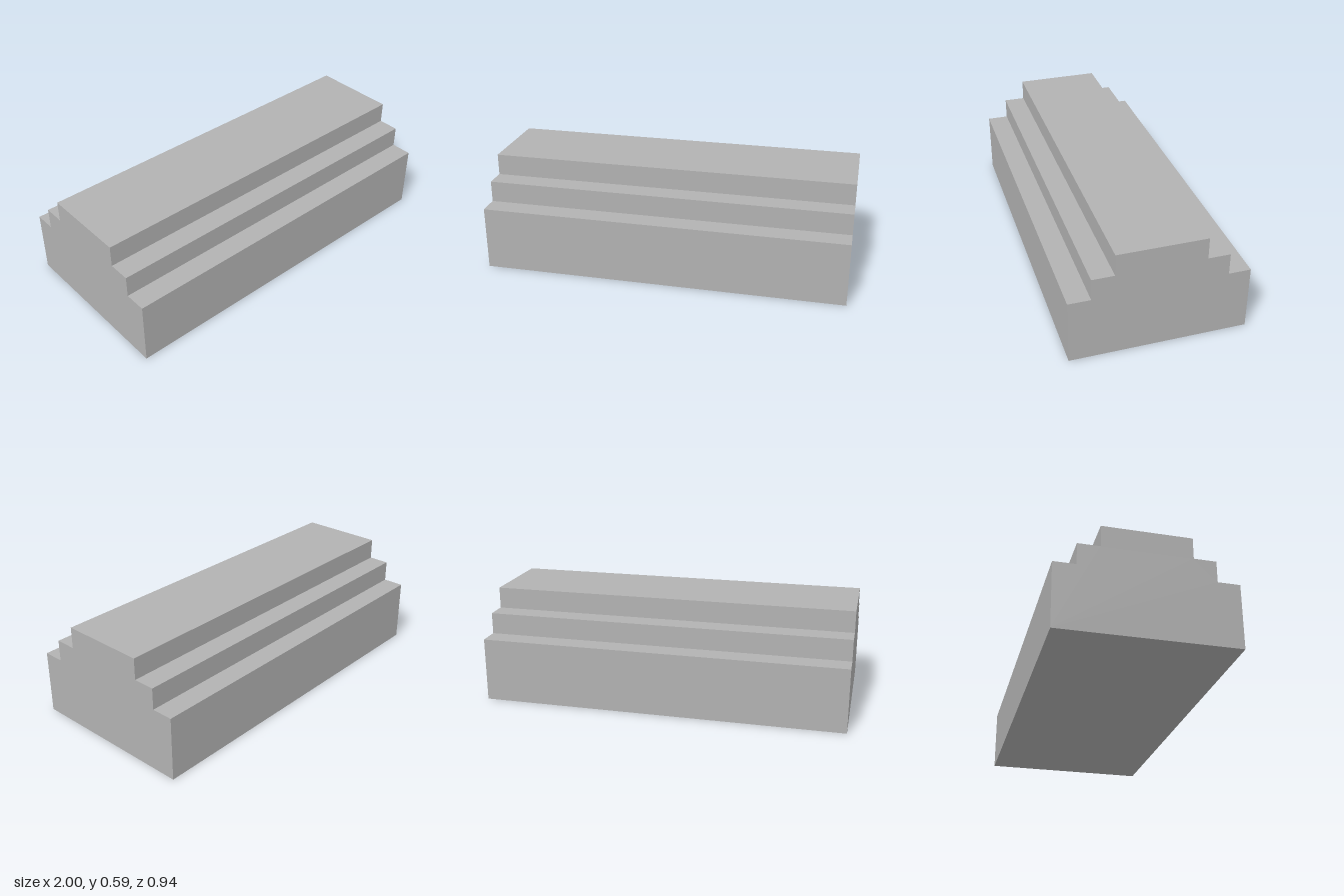
import * as THREE from 'three';

export function createModel() {
  const group = new THREE.Group();
  group.name = 'steppedBlock';
  const grey = new THREE.MeshStandardMaterial({ color: 0xb2b2b2 });
  grey.name = 'grey';

  // Stepped end profile: half of it as [half depth, height], then mirrored
  const u = 2 / 17;
  const half = [[4, 0], [4, 3], [3, 3], [3, 4], [2, 4], [2, 5]];
  const mirrored = half.map(([d, h]) => [-d, h]).reverse();
  const points = [...half, ...mirrored].map(([d, h]) => new THREE.Vector2(d * u, h * u));

  // Extrude the profile along the full length, then lay it along x
  const geometry = new THREE.ExtrudeGeometry(new THREE.Shape(points), { depth: 2, bevelEnabled: false });
  geometry.translate(0, 0, -1);
  geometry.rotateY(Math.PI / 2);

  const block = new THREE.Mesh(geometry, grey);
  block.name = 'steppedBody';
  group.add(block);
  return group;
}
